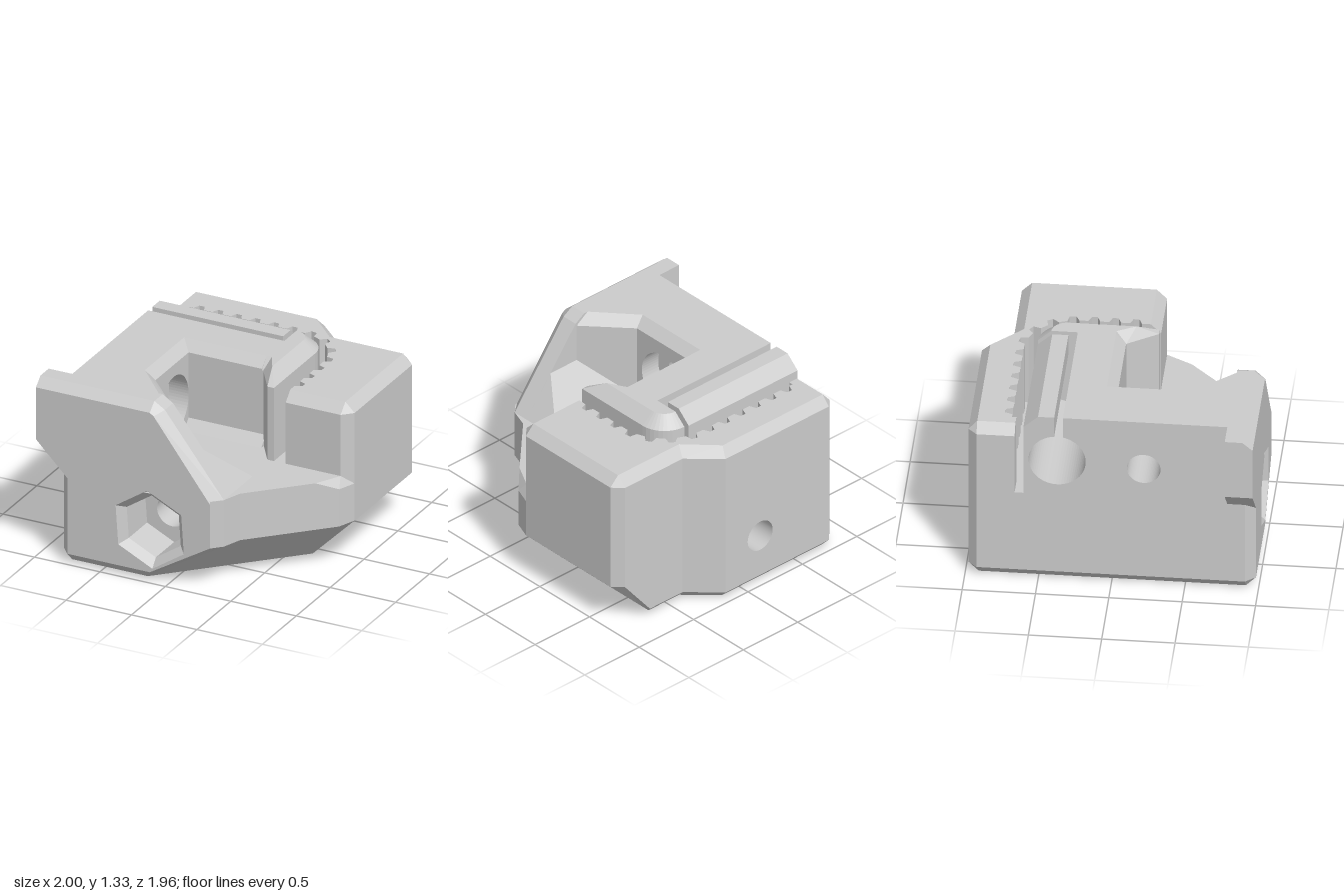
import * as THREE from 'three';

const material = new THREE.MeshStandardMaterial({ color: 0xcccccc, side: THREE.DoubleSide });
const V = (x, y, z) => new THREE.Vector3(x, y, z);
const level = (y, pts) => pts.map(([x, z]) => V(x, y, z));
const upright = (z, pts) => pts.map(([x, y]) => V(x, y, z));

// Flat polygon with optional holes, facing the side its corners run counter-clockwise on
function panel(out, outer, holes = []) {
  const n = V(0, 0, 0);
  outer.forEach((p, i) => n.add(p.clone().cross(outer[(i + 1) % outer.length])));
  n.normalize();
  const u = (Math.abs(n.y) > 0.9 ? V(1, 0, 0) : V(0, 1, 0)).cross(n).normalize();
  const w = n.clone().cross(u);
  const flat = (pts) => pts.map((p) => new THREE.Vector2(p.dot(u), p.dot(w)));
  const all = [...outer, ...holes.flat()];
  for (const [a, b, c] of THREE.ShapeUtils.triangulateShape(flat(outer), holes.map(flat))) {
    const [p, q, r] = [all[a], all[b], all[c]];
    const up = q.clone().sub(p).cross(r.clone().sub(p)).dot(n) > 0;
    out.push(p, up ? q : r, up ? r : q);
  }
}

// Skin between successive rings of equal length
function loft(out, rings, { closed = true, skip = () => false } = {}) {
  for (let k = 0; k + 1 < rings.length; k++) {
    const a = rings[k], b = rings[k + 1], n = a.length;
    for (let i = 0; i < (closed ? n : n - 1); i++) {
      if (skip(k, i)) continue;
      const j = (i + 1) % n;
      out.push(a[i], a[j], b[j], a[i], b[j], b[i]);
    }
  }
}

function meshOf(name, points) {
  const g = new THREE.BufferGeometry().setFromPoints(points);
  g.computeVertexNormals();
  return named(name, g);
}

function named(name, geometry) {
  const m = new THREE.Mesh(geometry, material);
  m.name = name;
  return m;
}

// Regular polygon or circle in a plane of constant z
const circle = (cx, cy, r, z, n, turn = 0) => Array.from({ length: n }, (_, i) => {
  const a = turn + (i / n) * Math.PI * 2;
  return V(cx + r * Math.cos(a), cy + r * Math.sin(a), z);
});

// Side profile (u = -z, v = y) pushed along x
function alongX(name, shape, x0, x1) {
  const g = new THREE.ExtrudeGeometry(shape, { depth: x1 - x0, bevelEnabled: false, curveSegments: 32 });
  return named(name, g.rotateY(Math.PI / 2).translate(x0, 0, 0));
}
const polyShape = (pts) => new THREE.Shape(pts.map(([a, b]) => new THREE.Vector2(a, b)));

// Cross-section of the upper body with the slit rod bore; front is a list of closing points
function bodyProfile(zFront, front, holeRadius) {
  const s = new THREE.Shape();
  s.moveTo(-zFront, 0.7).lineTo(0.6, 0.7).lineTo(0.6, 1.24).lineTo(0.5, 1.33).lineTo(0.39, 1.33);
  s.absarc(0.37, 0.98, 0.195, 1.468, 1.777, true);
  s.lineTo(0.33, 1.33);
  front.forEach(([u, v]) => s.lineTo(u, v));
  s.closePath();
  if (holeRadius) s.holes.push(new THREE.Path().absarc(-0.22, 0.95, holeRadius, 0, Math.PI * 2, true));
  return s;
}

function lowerBlock() {
  const full = [[-0.76, 0.98], [0.33, 0.98], [0.4, 0.91], [0.45, 0.77], [0.95, 0.27], [1, 0.14], [1, -0.71],
    [0.93, -0.78], [0.4, -0.78], [0.19, -0.98], [-0.76, -0.98], [-0.82, -0.92], [-0.82, 0.91]];
  const change = (edits) => full.map((p, i) => edits[i] || p);
  const base = [[-0.76, 0.91], [-0.18, 0.91], [-0.16, 0.89], [-0.1, 0.83], [0.65, 0.08], [0.65, 0.05], [0.65, -0.71],
    [0.65, -0.71], [0.37, -0.71], [0.16, -0.91], [-0.76, -0.91], [-0.76, -0.91], [-0.76, 0.91]];
  const low = change({ 1: [-0.13, 0.98], 2: [-0.08, 0.91], 3: [0.01, 0.82], 4: [0.72, 0.11], 5: [0.72, 0.07],
    6: [0.72, -0.71], 7: [0.7, -0.78] });
  const top = change({ 4: [0.83, 0.39], 5: [0.93, 0.21] });
  const out = [];
  loft(out, [level(0, base), level(0.07, low), level(0.35, full), level(0.63, full), level(0.7, top)],
    { skip: (k, i) => k > 0 && (i === 0 || i === 9) });
  panel(out, level(0, base).reverse());
  panel(out, level(0.7, top));
  // back face with the bolt hole
  panel(out, upright(-0.98, [[0.19, 0.07], [-0.76, 0.07], [-0.76, 0.7], [0.19, 0.7]]),
    [circle(-0.13, 0.39, 0.115, -0.98, 32)]);
  return meshOf('lowerBlock', out);
}

function frontFace() {
  const out = [];
  const hex = (r, z) => circle(-0.13, 0.39, r, z, 6, 1.64);
  panel(out, upright(0.98, [[-0.76, 0.07], [-0.13, 0.07], [0.33, 0.35], [0.33, 0.68], [-0.1, 1.25], [-0.13, 1.27],
    [-1, 1.27], [-1, 0.88], [-0.76, 0.64]]), [hex(0.29, 0.98)]);
  // chamfered nut recess
  loft(out, [hex(0.23, 0.65), hex(0.23, 0.92), hex(0.29, 0.98)].map((r) => r.reverse()));
  panel(out, hex(0.23, 0.65), [circle(-0.13, 0.39, 0.115, 0.65, 32)]);
  return meshOf('frontFaceWithNutRecess', out);
}

function frontPlate() {
  const full = [[-1, 0.88], [-0.82, 0.7], [0.4, 0.7], [-0.05, 1.28], [-0.13, 1.33], [-1, 1.33]];
  const inset = [[-1, 0.88], [-0.76, 0.64], [0.33, 0.68], [-0.1, 1.25], [-0.13, 1.27], [-1, 1.27]];
  const out = [];
  loft(out, [upright(0.79, full), upright(0.91, full), upright(0.98, inset)]);
  panel(out, upright(0.79, full).reverse());
  return meshOf('frontPlate', out);
}

// Rear and right wall with the toothed side of the belt groove
function beltWall() {
  const outer = [[0.51, 0.21], [0.93, 0.21], [1, 0.14], [1, -0.71], [0.93, -0.78], [0.4, -0.78], [0.19, -0.98],
    [-0.76, -0.98], [-0.82, -0.92], [-0.82, -0.66]];
  const top = [[0.51, 0.14], [0.93, 0.14], [0.93, 0.14], [0.93, -0.71], [0.93, -0.71], [0.37, -0.71], [0.16, -0.92],
    [-0.76, -0.92], [-0.76, -0.92], [-0.76, -0.66]];
  // point at distance s along the groove wall, pushed outward by d
  const arc = 0.36 * Math.PI / 2;
  const at = (s, d) => {
    if (s < 0.84) return [-0.69 + s, -0.69 - d];
    if (s > 0.84 + arc) return [0.51 + d, -0.33 + s - 0.84 - arc];
    const a = (s - 0.84) / 0.36;
    return [0.15 + (0.36 + d) * Math.sin(a), -0.33 - (0.36 + d) * Math.cos(a)];
  };
  const inner = [[-0.76, -0.66], [-0.69, -0.66], [-0.69, -0.69]];
  for (let i = 0; i < 13; i++) {
    const s = 0.07 + i * 0.142;
    inner.push(at(s - 0.04, 0), at(s - 0.02, 0.05), at(s + 0.02, 0.05), at(s + 0.04, 0));
  }
  inner.push([0.51, 0.14]);
  const out = [];
  loft(out, [level(0.63, outer), level(1.16, outer), level(1.23, top)], { closed: false });
  loft(out, [level(0.7, inner), level(1.23, inner)], { closed: false });
  const cap = top.filter((p, i) => i === 0 || p.join() !== top[i - 1].join());
  panel(out, level(1.23, [...cap, ...inner.slice(1, -1)]));
  // ends of the groove wall under the chamfers
  panel(out, upright(-0.66, [[-0.82, 0.7], [-0.76, 0.7], [-0.76, 1.23], [-0.82, 1.16]]));
  panel(out, [V(0.51, 0.7, 0.21), V(0.51, 1.16, 0.21), V(0.51, 1.23, 0.14), V(0.51, 0.7, 0.14)]);
  return meshOf('beltWall', out);
}

// Rounded corner the belt runs around
function beltCorner() {
  const outline = (front, r) => {
    const pts = [...front];
    for (let i = 0; i <= 10; i++) {
      const a = (i / 10) * Math.PI / 2;
      pts.push([0.22 + r * Math.cos(a), -0.4 - r * Math.sin(a)]);
    }
    return pts;
  };
  const full = outline([[0.22, 0], [0.23, 0], [0.37, 0.21], [0.42, 0.21]], 0.2);
  const top = outline([[0.22, -0.07], [0.26, -0.07], [0.33, 0.06], [0.33, 0.06]], 0.11);
  const out = [];
  loft(out, [level(0.7, full), level(1.25, full), level(1.33, top)]);
  panel(out, level(1.33, top.filter((_, i) => i !== 3)));
  return meshOf('beltCorner', out);
}

// Slanted corner and ramp behind the front plate
function pocketFront() {
  const full = [[-0.34, 0.79], [-0.06, 0.79], [-0.34, 0.49]];
  const top = level(1.33, [[-0.41, 0.79], [-0.16, 0.79], [-0.41, 0.51]]);
  const out = [];
  loft(out, [level(0.7, full), level(1.26, full), top]);
  panel(out, top);
  const a = V(-0.34, 0.7, 0.49), b = V(0.4, 0.7, 0.49), c = V(0.18, 0.98, 0.79), d = V(-0.06, 0.98, 0.79);
  panel(out, [b, a, d, c]);
  panel(out, [b, c, V(0.4, 0.7, 0.79)]);
  return meshOf('pocketRamp', out);
}

export function createModel() {
  const group = new THREE.Group();
  group.name = 'beltBracket';
  group.add(lowerBlock(), frontFace(), frontPlate(), beltWall(), beltCorner(), pocketFront());

  // upper body in slices along x: side wall, counterbore, chamfered lip, back of the pocket
  const square = [[-0.8, 1.33]];
  const edge = [[0.07, 1.33], [0, 1.26]];
  group.add(
    alongX('sideWall', bodyProfile(0.8, square, 0.115), -0.82, -0.49),
    alongX('counterbore', bodyProfile(0.8, square, 0.22), -0.49, -0.41),
    alongX('pocketLip', bodyProfile(0.8, [...edge, [-0.8, 1.26]], 0.22), -0.41, -0.34),
    alongX('pocketBack', bodyProfile(0, edge), -0.34, 0.18),
    alongX('slitEnd', polyShape([[0, 0.7], [0.33, 0.7], [0.33, 1.33], [0.07, 1.33], [0, 1.26]]), 0.18, 0.22),
    alongX('pocketFloorChamfer', polyShape([[-0.07, 0.7], [0, 0.7], [0, 0.77]]), -0.34, 0.25),
  );

  // chamfer along the left edge of the pocket
  const lip = new THREE.ExtrudeGeometry(polyShape([[-0.41, 1.26], [-0.34, 1.26], [-0.41, 1.33]]),
    { depth: 0.58, bevelEnabled: false });
  group.add(named('pocketEdgeChamfer', lip.translate(0, 0, -0.07)));

  // bolt bore from the nut recess to the back
  const bore = new THREE.CylinderGeometry(0.115, 0.115, 1.63, 32, 1, true);
  group.add(named('boltBore', bore.rotateX(Math.PI / 2).translate(-0.13, 0.39, -0.165)));

  // move to the middle
  group.updateMatrixWorld(true);
  return group;
}
